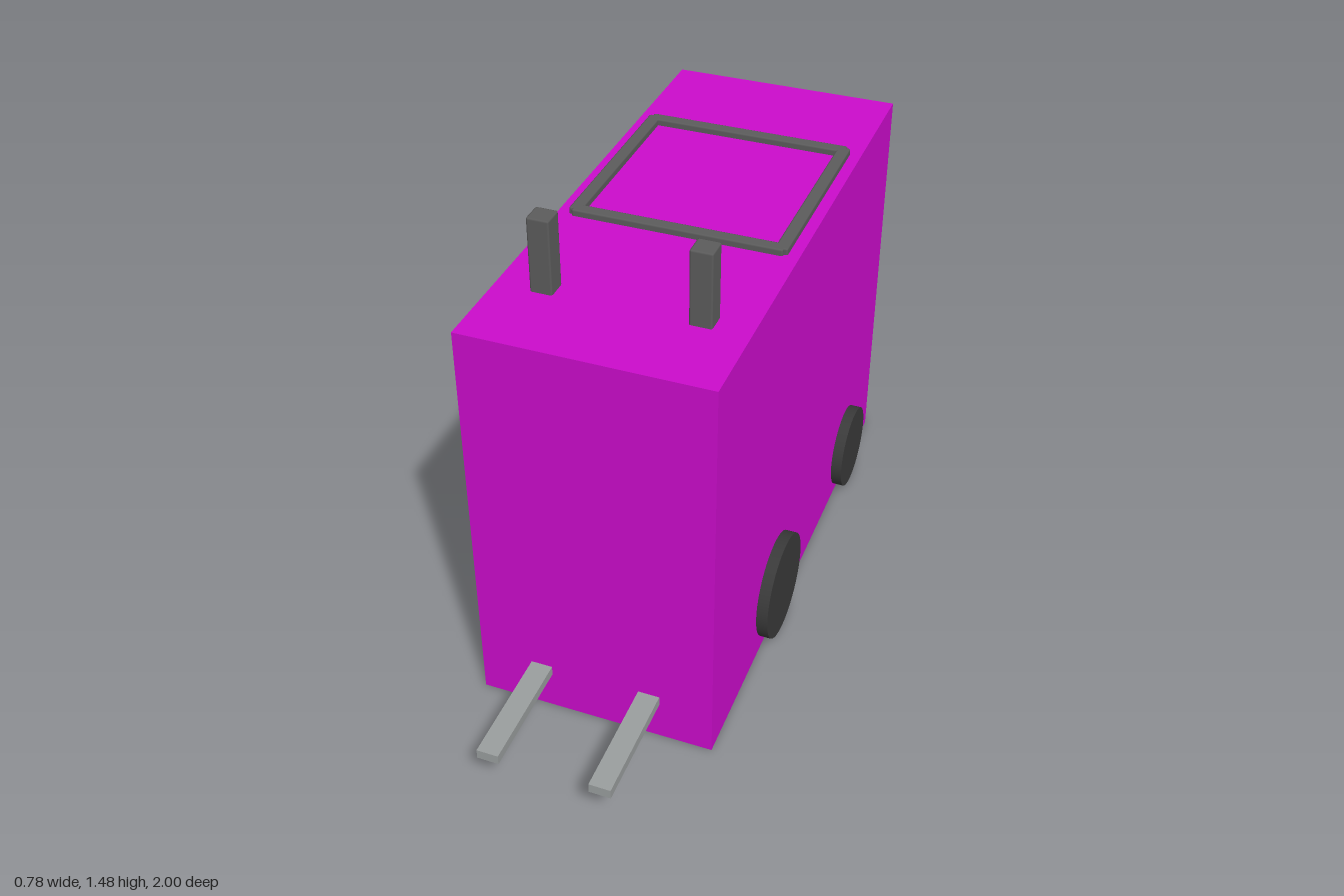
import * as THREE from 'three';
import { RoundedBoxGeometry } from 'three/addons/geometries/RoundedBoxGeometry.js';

function material(name, color) {
  const m = new THREE.MeshStandardMaterial({ color });
  m.name = name;
  return m;
}

export function createModel() {
  const model = new THREE.Group();
  model.name = 'boxCart';
  const magenta = material('magenta body', 0xcc0ccc);
  const rubber = material('dark rubber', 0x3a3a3a);
  const darkGrey = material('dark grey trim', 0x5c5c5c);
  const lightGrey = material('light grey metal', 0x9a9e9e);

  function add(name, geometry, mat, x, y, z) {
    const mesh = new THREE.Mesh(geometry, mat);
    mesh.name = name;
    mesh.position.set(x, y, z);
    model.add(mesh);
    return mesh;
  }
  const bevelled = (w, h, d, r) => new RoundedBoxGeometry(w, h, d, 1, r);

  // Tall box body
  add('body', new THREE.BoxGeometry(0.71, 1.26, 1.645), magenta, 0, 0.63, -0.1775);

  for (const side of [1, -1]) {
    const label = side > 0 ? 'left' : 'right';

    // Disc wheels, the front pair larger
    for (const [end, r, z] of [['Front', 0.165, 0.095], ['Rear', 0.137, -0.672]]) {
      const wheel = add(`${label}${end}Wheel`, new THREE.CylinderGeometry(r, r, 0.06, 48),
        rubber, side * 0.36, r, z);
      wheel.rotation.z = Math.PI / 2;
    }

    // Upright posts near the front of the roof
    add(`${label}Post`, bevelled(0.064, 0.24, 0.064, 0.006), darkGrey, side * 0.22, 1.36, 0.37);

    // Flat fork prongs reaching forward
    add(`${label}Fork`, new THREE.BoxGeometry(0.064, 0.03, 0.4), lightGrey, side * 0.165, 0.14, 0.8);

    // Side rails of the roof frame
    add(`${label}Rail`, bevelled(0.038, 0.04, 0.62, 0.006), darkGrey, side * 0.302, 1.26, -0.315);
  }

  // Front and rear rails of the roof frame
  for (const [name, z] of [['frontRail', -0.015], ['rearRail', -0.617]]) {
    add(name, bevelled(0.62, 0.04, 0.038, 0.006), darkGrey, 0, 1.26, z);
  }

  return model;
}
